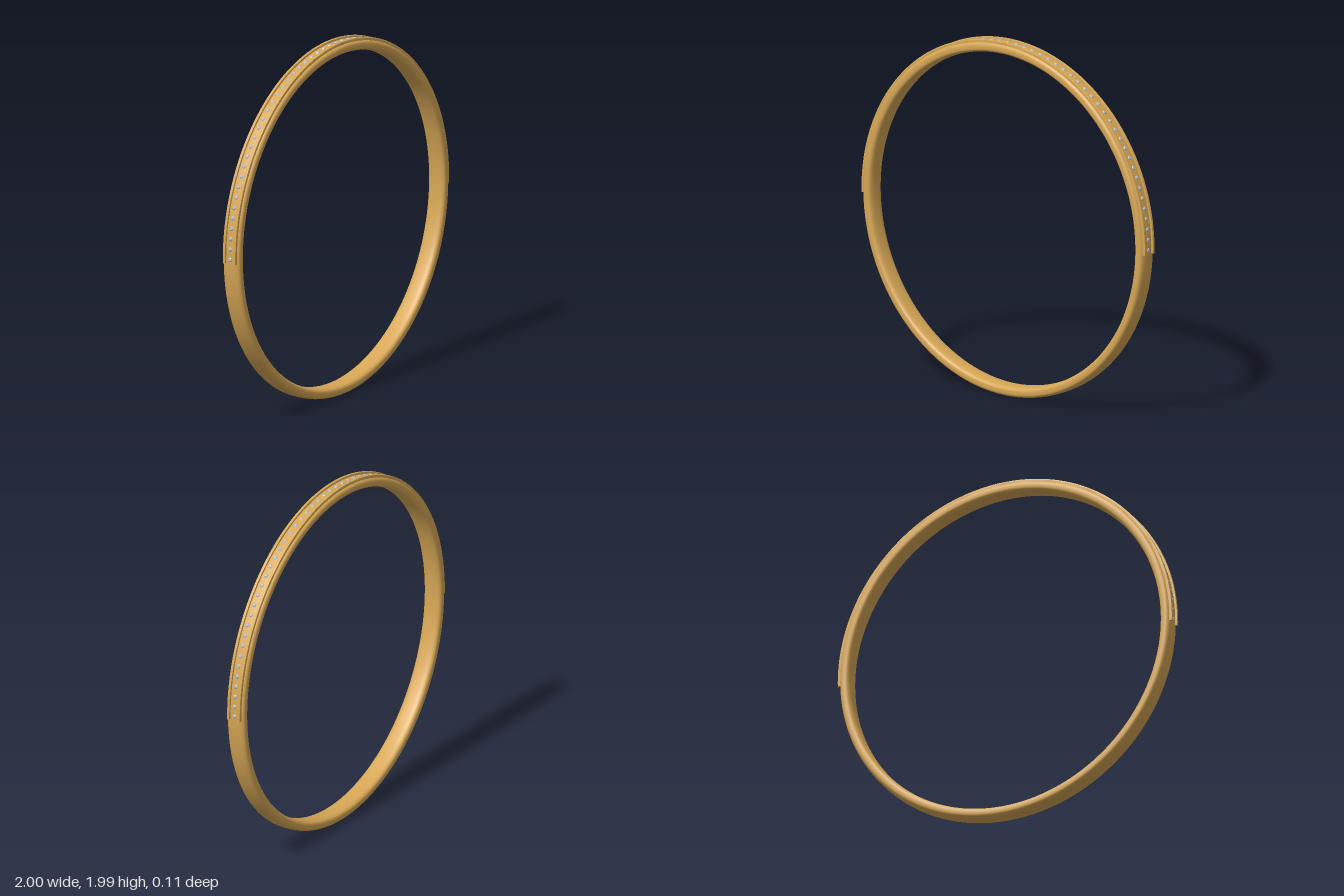
import * as THREE from 'three';
import { toCreasedNormals } from 'three/addons/utils/BufferGeometryUtils.js';

const CENTRE_Y = 0.99;
const gold = new THREE.MeshStandardMaterial({ color: 0xd6a655 });
const silver = new THREE.MeshStandardMaterial({ color: 0xb4b8c4 });

// Closed superellipse section, revolved into a hoop that faces z
function bandGeometry(inner, outer, halfWidth) {
  const mid = (inner + outer) / 2, half = (outer - inner) / 2, n = 36;
  const soft = v => Math.sign(v) * Math.abs(v) ** (2 / 3);
  const pts = [];
  for (let i = 0; i <= n; i++) {
    const a = Math.PI + (i / n) * Math.PI * 2;
    pts.push(new THREE.Vector2(mid + half * soft(Math.cos(a)), halfWidth * soft(Math.sin(a))));
  }
  return new THREE.LatheGeometry(pts, 160).rotateX(Math.PI / 2);
}

// Bevelled arc strip over the upper half, running just past the sides
function railGeometry() {
  const bevel = 0.004, depth = 0.008, over = 0.02;
  const s = new THREE.Shape();
  s.absarc(0, 0, 1 - bevel, -over, Math.PI + over, false);
  s.absarc(0, 0, 0.974, Math.PI + over, -over, true);
  s.closePath();
  const g = new THREE.ExtrudeGeometry(s, {
    depth, curveSegments: 96, bevelEnabled: true,
    bevelSize: bevel, bevelThickness: bevel, bevelSegments: 2,
  });
  return toCreasedNormals(g.translate(0, 0, -depth / 2), 0.6);
}

// Small faceted stone, table facing +y
function gemGeometry() {
  const profile = [[0, -0.01], [0.013, 0], [0.008, 0.005], [0, 0.005]];
  const g = new THREE.LatheGeometry(profile.map(p => new THREE.Vector2(...p)), 8);
  return toCreasedNormals(g, 0.1);
}

export function createModel() {
  const model = new THREE.Group();
  const hoop = new THREE.Group();
  hoop.name = 'bangle';
  hoop.position.y = CENTRE_Y;
  model.add(hoop);

  const add = (name, geometry, material, parent = hoop) => {
    const mesh = new THREE.Mesh(geometry, material);
    mesh.name = name;
    parent.add(mesh);
    return mesh;
  };

  add('band', bandGeometry(0.928, 0.989, 0.055), gold);

  // Pair of raised rails bordering the stones
  const rail = railGeometry();
  for (const side of [-1, 1]) {
    add(side > 0 ? 'frontRail' : 'backRail', rail, gold).position.z = side * 0.034;
  }

  // Row of stones set between the rails
  const gems = new THREE.Group();
  gems.name = 'gemRow';
  hoop.add(gems);
  const gem = gemGeometry(), count = 54;
  for (let i = 0; i <= count; i++) {
    const a = (i / count) * Math.PI;
    const stone = add('gem', gem, silver, gems);
    stone.position.set(Math.cos(a) * 0.99, Math.sin(a) * 0.99, 0);
    stone.rotation.z = a - Math.PI / 2;
  }
  return model;
}
